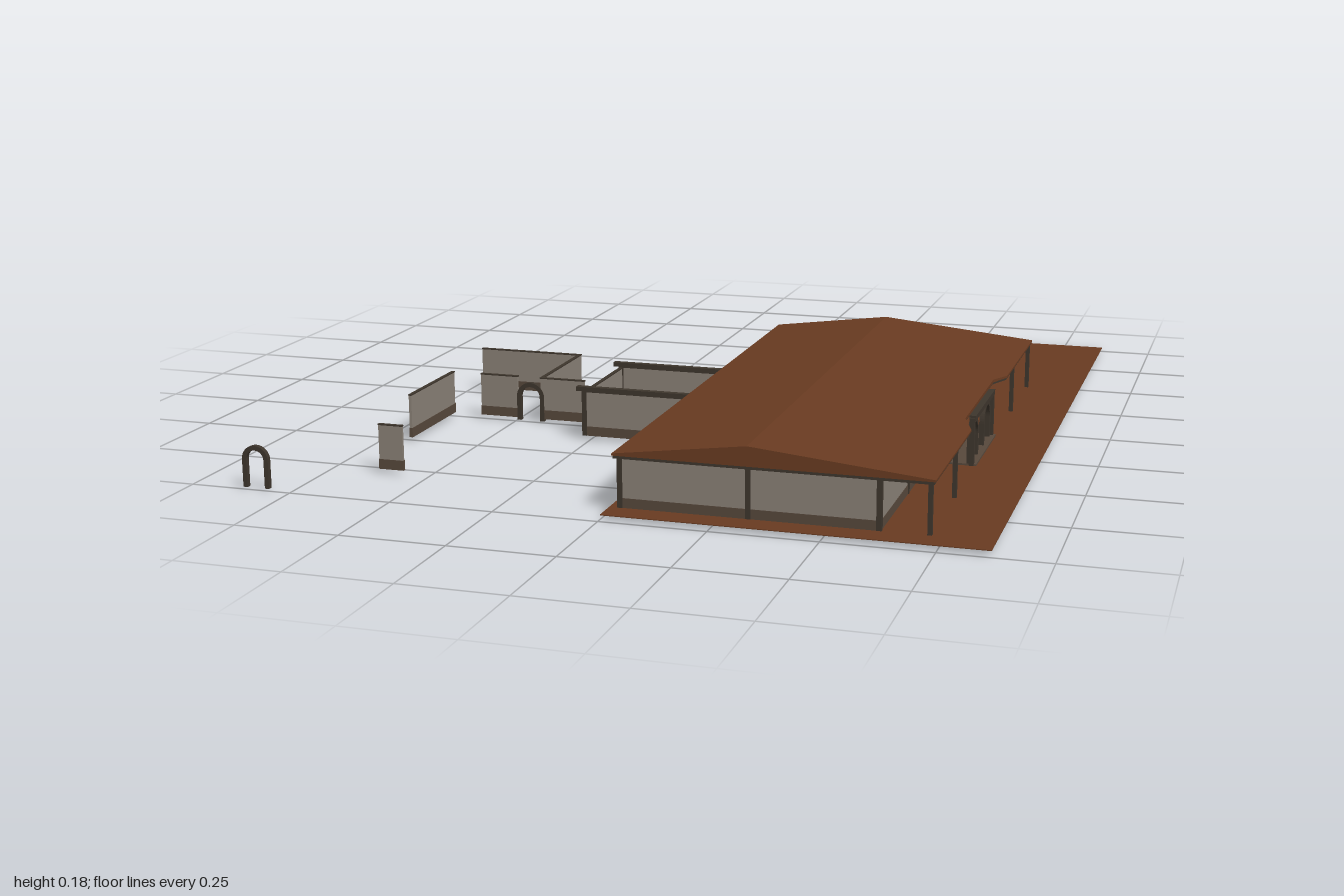
import * as THREE from 'three';

const mat = (name, color) => {
  const m = new THREE.MeshStandardMaterial({ color, side: THREE.DoubleSide });
  m.name = name;
  return m;
};

export function createModel() {
  const model = new THREE.Group();
  const brown = mat('roof brown', 0x693b21);
  const plaster = mat('plaster grey', 0x8a8177);
  const skirt = mat('skirting brown', 0x57483c);
  const timber = mat('dark timber', 0x3e362d);

  const add = (name, geo, material, parent = model) => {
    const m = new THREE.Mesh(geo, material);
    m.name = name;
    parent.add(m);
    return m;
  };
  // Box from its minimum and maximum corners
  const box = (name, material, x0, x1, y0, y1, z0, z1, parent) => {
    const g = new THREE.BoxGeometry(x1 - x0, y1 - y0, z1 - z0);
    g.translate((x0 + x1) / 2, (y0 + y1) / 2, (z0 + z1) / 2);
    return add(name, g, material, parent);
  };
  const post = (x, z, top = 0.128, r = 0.006) =>
    box('post', timber, x - r, x + r, 0.01, top, z - r, z + r);

  // Straight wall along x or z with a skirting band and a thin coping
  const wall = (name, x0, z0, x1, z1, top = 0.12) => {
    const g = new THREE.Group();
    g.name = name;
    model.add(g);
    const t = 0.0035;
    const layer = (part, m, y0, y1, d) =>
      box(part, m, x0 - d, x1 + d, y0, y1, z0 - d, z1 + d, g);
    layer('wallPanel', plaster, 0.034, top - 0.003, t);
    layer('skirting', skirt, 0.01, 0.034, t + 0.001);
    layer('coping', timber, top - 0.003, top, t + 0.001);
  };

  // Round-headed frame, facing z unless turned to face x
  const arch = (name, x, z, width, height, turned = false, depth = 0.012) => {
    const outline = (path, r, h) => {
      path.moveTo(-r, 0);
      path.lineTo(-r, h);
      path.absarc(0, h, r, Math.PI, 0, true);
      path.lineTo(r, 0);
      return path;
    };
    const r = width / 2, band = 0.011, spring = height - r;
    const s = outline(new THREE.Shape(), r, spring);
    s.lineTo(r - band, 0);
    s.lineTo(r - band, spring);
    s.absarc(0, spring, r - band, 0, Math.PI, false);
    s.lineTo(-r + band, 0);
    const g = new THREE.ExtrudeGeometry(s, { depth, bevelEnabled: false, curveSegments: 12 });
    g.translate(0, 0, -depth / 2);
    const m = add(name, g, timber);
    m.position.set(x, 0.004, z);
    if (turned) m.rotation.y = Math.PI / 2;
  };

  // Ground
  box('ground', brown, 0, 0.865, 0.0095, 0.0115, -1, 0.985);

  // Roof lofted along z; its right eave steps in above the porch
  const eave = [[-0.473, 0.73], [-0.04, 0.73], [0.02, 0.705], [0.42, 0.705], [0.51, 0.735], [0.935, 0.735]];
  const loft = (section) => {
    const pos = [];
    const rings = eave.map(([z, xr]) => section(xr).map(([x, y]) => [x, y, z]));
    const n = rings[0].length;
    const tri = (...p) => p.forEach((v) => pos.push(...v));
    for (let i = 0; i < rings.length - 1; i++) {
      for (let j = 0; j < n; j++) {
        const k = (j + 1) % n, a = rings[i], b = rings[i + 1];
        tri(a[j], a[k], b[k]);
        tri(a[j], b[k], b[j]);
      }
    }
    const first = rings[0], last = rings[rings.length - 1];
    for (let j = 1; j < n - 1; j++) {
      tri(first[0], first[j + 1], first[j]);
      tri(last[0], last[j], last[j + 1]);
    }
    const g = new THREE.BufferGeometry();
    g.setAttribute('position', new THREE.Float32BufferAttribute(pos, 3));
    g.computeVertexNormals();
    return g;
  };
  const slope = (x) => 0.179 - (x - 0.32) * 0.1;
  add('roof', loft((xr) => [[0.01, 0.133], [xr, 0.133], [xr, slope(xr)], [0.32, 0.179], [0.01, 0.138]]), brown);
  add('eaveBoard', loft((xr) => [[0.013, 0.127], [xr - 0.003, 0.127], [xr - 0.003, 0.133], [0.013, 0.133]]), timber);

  // House outer walls
  const L = 0.025, R = 0.612, B = -0.45, F = 0.92, top = 0.127;
  const bays = [B, -0.175, 0.09, 0.365, 0.635, F];
  wall('frontWall', L, F, R, F, top);
  wall('backWall', L, B, R, B, top);
  wall('rightWall', R, B, R, F, top);
  for (let i = 0; i < 5; i++) {
    if (i !== 2) wall('leftWall', L, bays[i], L, bays[i + 1], top);
  }
  bays.forEach((z) => { post(L, z); post(R, z); });
  [B, F].forEach((z) => post(0.32, z));

  // Inner partitions and door frames
  bays.slice(1, 5).forEach((z) => wall('partition', L, z, 0.32, z, top));
  wall('spineWall', 0.32, B, 0.32, 0.09, top);
  wall('spineWall', 0.32, 0.365, 0.32, F, top);
  const doorFrame = (x, z) => {
    [-0.025, 0.025].forEach((d) =>
      box('doorJamb', timber, x + d - 0.004, x + d + 0.004, 0, 0.09, z - 0.006, z + 0.006));
    box('doorHead', timber, x - 0.029, x + 0.029, 0.09, 0.097, z - 0.006, z + 0.006);
  };
  [[0.2, 0.635], [0.2, -0.175], [0.2, 0.09]].forEach(([x, z]) => doorFrame(x, z));

  // Porch and outer posts
  const P = 0.713;
  box('porchFloor', skirt, R, 0.725, 0.01, 0.016, 0.085, 0.37);
  box('porchBeam', timber, P - 0.008, P + 0.008, 0.121, 0.133, 0.09, 0.365);
  [0.09, 0.365].forEach((z) => post(P, z));
  [B, -0.175, 0.635, F].forEach((z) => post(0.722, z, 0.13, 0.005));
  [0.15, 0.32].forEach((z) => arch('porchArch', P - 0.006, z, 0.095, 0.114, true));
  // Entrance door outline on the wall behind the porch
  const dx = R + 0.004;
  [0.213, 0.253].forEach((z) => box('entranceJamb', timber, dx, dx + 0.004, 0.01, 0.09, z - 0.002, z + 0.002));
  box('entranceHead', timber, dx, dx + 0.004, 0.087, 0.091, 0.211, 0.255);

  // Courtyard on the left-hand side of the plan
  [0.088, 0.365].forEach((z) => {
    wall('courtyardSideWall', -0.265, z, L, z, 0.125);
    box('courtyardBeam', timber, -0.285, 0.02, 0.125, 0.136, z - 0.008, z + 0.008);
    post(-0.265, z, 0.126);
  });
  wall('courtyardEndWall', -0.265, 0.09, -0.265, 0.363, 0.123);

  // Detached garden walls and arches
  wall('gardenWall', -0.706, -0.03, -0.427, -0.03);
  wall('gardenWall', -0.427, -0.03, -0.427, 0.245);
  wall('gateWall', -0.592, 0.245, -0.497, 0.245);
  wall('gateWall', -0.42, 0.245, -0.314, 0.245);
  arch('gateArch', -0.458, 0.245, 0.074, 0.1);
  wall('gardenWall', -0.675, 0.25, -0.675, 0.505);
  wall('shortWall', -0.622, 0.785, -0.568, 0.785);
  arch('loneArch', -0.837, 0.99, 0.066, 0.1);

  return model;
}
